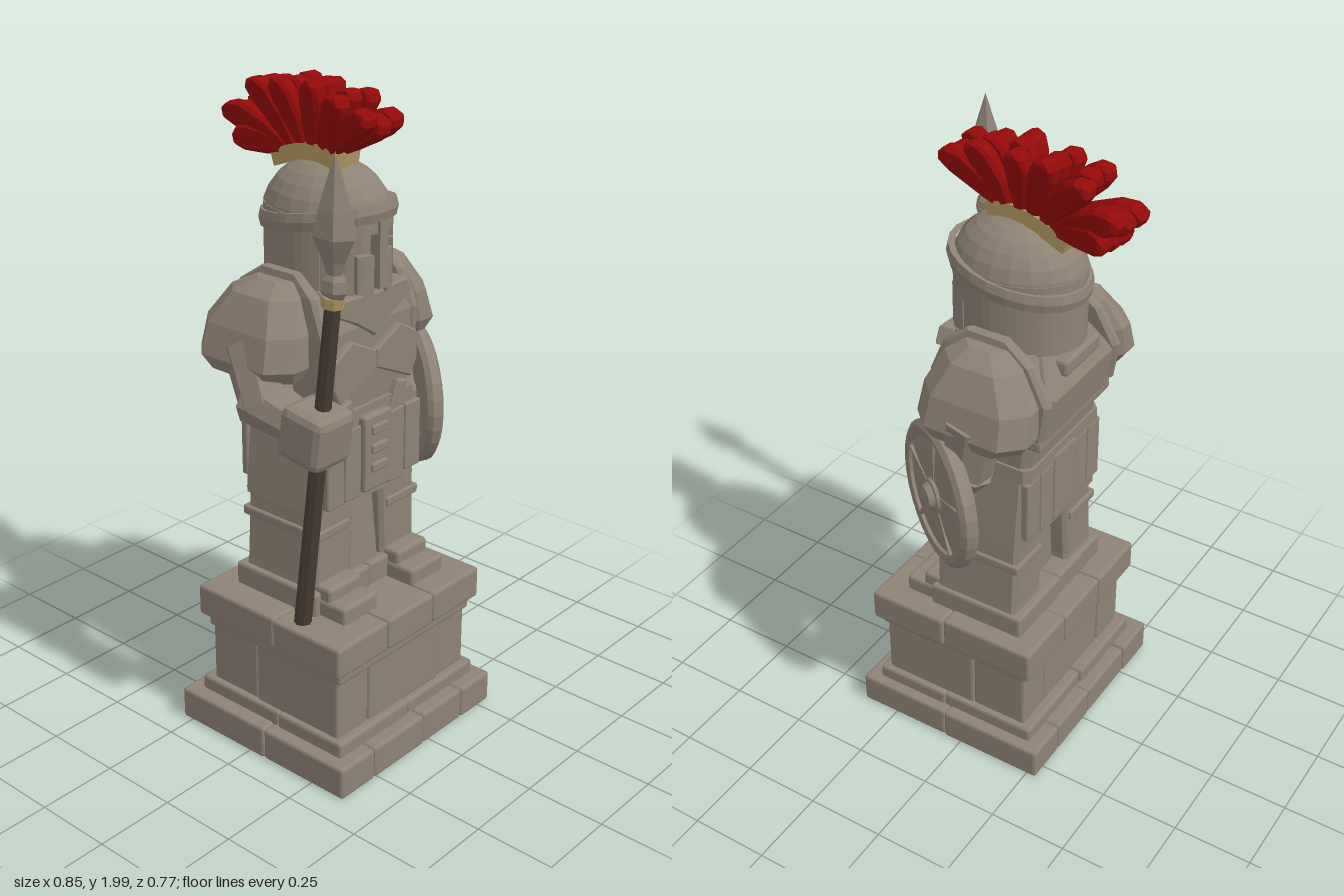
import * as THREE from 'three';
import { RoundedBoxGeometry } from 'three/addons/geometries/RoundedBoxGeometry.js';

const MID = -0.025; // centre line of the figure
const mat = (name, color, side = THREE.FrontSide) => {
  const m = new THREE.MeshStandardMaterial({ color, flatShading: true, side });
  m.name = name;
  return m;
};

export function createModel() {
  const stone = mat('stone', 0x8f8275), wood = mat('dark wood', 0x4a3d34);
  const red = mat('crest red', 0x930a0a), gold = mat('brass', 0xb39a62);
  const root = new THREE.Group();
  root.name = 'statue';
  let seed = 7;
  const rnd = () => ((seed = (seed * 16807) % 2147483647) / 2147483647) * 2 - 1;

  const add = (name, geo, material = stone, parent = root) => {
    const m = new THREE.Mesh(geo, material);
    m.name = name;
    parent.add(m);
    return m;
  };
  const group = (name, parent = root) => {
    const g = new THREE.Group();
    g.name = name;
    parent.add(g);
    return g;
  };
  // Bevelled block given by its limits
  const block = (name, x0, x1, y0, y1, z0, z1, parent = root, bevel = 0.01) => {
    const m = add(name, new RoundedBoxGeometry(x1 - x0, y1 - y0, z1 - z0, 1, bevel), stone, parent);
    m.position.set((x0 + x1) / 2, (y0 + y1) / 2, (z0 + z1) / 2);
    return m;
  };
  // Solid through chamfered rectangles [y, x0, x1, z0, z1]
  const loft = (sections, c = 0.02) => {
    const pos = [], idx = [], n = 8;
    for (const [y, x0, x1, z0, z1] of sections) {
      const k = Math.min(c, (x1 - x0) * 0.45, (z1 - z0) * 0.45);
      [[x1, z0 + k], [x1, z1 - k], [x1 - k, z1], [x0 + k, z1], [x0, z1 - k], [x0, z0 + k], [x0 + k, z0], [x1 - k, z0]]
        .forEach(([x, z]) => pos.push(x, y, z));
    }
    const last = (sections.length - 1) * n;
    for (let s = 0; s < last; s += n) for (let i = 0; i < n; i++) {
      const a = s + i, b = s + (i + 1) % n;
      idx.push(b, a, a + n, b, a + n, b + n);
    }
    for (let i = 1; i < n - 1; i++) idx.push(0, i, i + 1, last, last + i + 1, last + i);
    const g = new THREE.BufferGeometry();
    g.setAttribute('position', new THREE.Float32BufferAttribute(pos, 3));
    g.setIndex(idx);
    g.computeVertexNormals();
    return g;
  };
  // Flat outline facing the front
  const plate = (name, pts, z, depth, parent) => {
    const g = new THREE.ExtrudeGeometry(new THREE.Shape(pts.map(p => new THREE.Vector2(...p))),
      { depth, bevelSize: 0.005, bevelThickness: 0.005, bevelSegments: 1 });
    add(name, g, stone, parent).position.z = z;
  };
  // Tapered bar between two points
  const bar = (name, a, b, ra, rb, sides, material = stone, parent = root) => {
    const p = new THREE.Vector3(...a), q = new THREE.Vector3(...b), d = q.clone().sub(p);
    const m = add(name, new THREE.CylinderGeometry(rb, ra, d.length(), sides), material, parent);
    m.position.copy(p).addScaledVector(d, 0.5);
    m.quaternion.setFromUnitVectors(new THREE.Vector3(0, 1, 0), d.normalize());
    return m;
  };
  const mirror = x => 2 * MID - x;

  // Pedestal: courses of slightly uneven blocks
  const pedestal = group('pedestal');
  const course = (name, xs, y0, y1, zs) => {
    for (let i = 0; i < xs.length - 1; i++) for (let k = 0; k < zs.length - 1; k++) {
      const j = () => rnd() * 0.004;
      block(name, xs[i] + (i ? 0 : j()), xs[i + 1] + (i === xs.length - 2 ? j() : 0), y0, y1 + j(),
        zs[k] + (k ? 0 : j()), zs[k + 1] + (k === zs.length - 2 ? j() : 0), pedestal, 0.009);
    }
  };
  course('baseSlab', [-0.405, -0.26, -0.03, 0.16, 0.305], 0, 0.1, [-0.285, 0.06, 0.375]);
  course('baseStep', [-0.365, -0.05, 0.265], 0.09, 0.145, [-0.24, 0.08, 0.33]);
  course('pedestalWall', [-0.345, -0.21, 0.12, 0.25], 0.14, 0.35, [-0.205, -0.02, 0.305]);
  course('wallMoulding', [-0.355, 0.26], 0.335, 0.375, [-0.215, 0.315]);
  course('topSlab', [-0.37, -0.15, 0.06, 0.28], 0.37, 0.47, [-0.24, 0.07, 0.33]);
  course('footSlab', [-0.275, MID, 0.22], 0.46, 0.54, [-0.17, 0.15]);

  // Legs and boots
  const legs = group('legs');
  for (const s of [1, -1]) {
    const f = (a, b) => (s > 0 ? [a, b] : [mirror(b), mirror(a)]);
    add('leg', loft([[0.5, ...f(0.05, 0.21), -0.15, 0.14], [0.56, ...f(0.05, 0.205), -0.145, 0.135],
      [0.82, ...f(0.03, 0.19), -0.145, 0.14]], 0.012), stone, legs);
    block('boot', ...f(0.055, 0.205), 0.46, 0.52, 0.08, 0.25, legs);
    block('bootInstep', ...f(0.06, 0.2), 0.5, 0.56, 0.08, 0.19, legs);
    block('kneeBand', ...f(0.06, 0.205), 0.70, 0.73, -0.155, 0.145, legs, 0.006);
  }
  add('loincloth', loft([[0.5, -0.1, 0.045, -0.1, 0.13], [0.82, -0.075, 0.03, -0.1, 0.11]], 0.01), stone, legs);

  // Torso, belt and skirt
  const torso = group('torso');
  add('body', loft([[0.78, -0.255, 0.195, -0.16, 0.15], [1.06, -0.225, 0.17, -0.165, 0.14],
    [1.2, -0.225, 0.175, -0.185, 0.15], [1.32, -0.215, 0.17, -0.2, 0.15], [1.43, -0.17, 0.13, -0.15, 0.11]], 0.025), stone, torso);
  add('belt', loft([[1.03, -0.235, 0.18, -0.175, 0.155], [1.075, -0.232, 0.178, -0.175, 0.155]]), stone, torso);
  for (const z of [0.145, -0.175]) { // skirt flaps, front and back
    for (const x of [-0.235, -0.16, 0.035, 0.11])
      block('skirtFlap', x, x + 0.07, 0.79 + Math.abs(rnd()) * 0.04, 1.03, z, z + 0.025, torso, 0.006);
    block('middleFlap', -0.085, 0.035, 0.81, 1.05, z - 0.005, z + 0.035, torso, 0.008);
  }
  for (const y of [0.87, 0.93, 0.99]) block('flapStud', -0.06, 0.01, y, y + 0.03, 0.165, 0.19, torso, 0.006);
  for (const s of [1, -1]) {
    const m = pts => (s > 0 ? pts : pts.map(([x, y]) => [mirror(x), y]).reverse());
    plate('breastPlate', m([[MID + 0.005, 1.19], [0.13, 1.12], [0.155, 1.17], [0.15, 1.25], [0.08, 1.29], [MID + 0.005, 1.24]]), 0.135, 0.03, torso);
    plate('collarFlap', m([[MID, 1.29], [0.05, 1.34], [0.13, 1.38], [0.11, 1.42], [MID, 1.41]]), 0.115, 0.045, torso);
    plate('beltStrap', m([[0.05, 1.03], [0.09, 1.03], [0.12, 1.1], [0.08, 1.11]]), 0.13, 0.03, torso);
  }
  add('backPlate', loft([[1.19, -0.215, 0.165, -0.215, -0.1], [1.32, -0.2, 0.15, -0.235, -0.1],
    [1.43, -0.14, 0.09, -0.18, -0.05]]), stone, torso);
  block('backBand', -0.225, 0.175, 1.155, 1.195, -0.21, -0.1, torso);
  block('backCollar', -0.12, 0.07, 1.36, 1.41, -0.23, -0.12, torso);

  // Shoulder guards with raised inner straps
  for (const s of [1, -1]) {
    const g = group(s > 0 ? 'leftShoulder' : 'rightShoulder');
    const side = secs => secs.map(([y, a, b, c, d]) => (s > 0 ? [y, a, b, c, d] : [y, mirror(b), mirror(a), c, d]));
    add('shoulderGuard', loft(side([[1.21, 0.17, 0.325, -0.2, 0.11], [1.25, 0.16, 0.34, -0.23, 0.13],
      [1.34, 0.15, 0.315, -0.225, 0.12], [1.43, 0.14, 0.265, -0.17, 0.08], [1.465, 0.14, 0.21, -0.1, 0.03]]), 0.06), stone, g);
    add('shoulderStrap', loft(side([[1.2, 0.15, 0.185, -0.22, 0.145], [1.32, 0.145, 0.185, -0.238, 0.155],
      [1.43, 0.14, 0.18, -0.18, 0.11], [1.485, 0.14, 0.17, -0.1, 0.04]]), 0.012), stone, g);
  }

  // Arms and hands
  const arms = group('arms');
  bar('leftUpperArm', [0.26, 1.28, -0.05], [0.25, 1.07, -0.01], 0.09, 0.075, 8, stone, arms);
  bar('leftForearm', [0.25, 1.1, -0.03], [0.25, 0.98, 0.06], 0.075, 0.06, 8, stone, arms);
  block('leftHand', 0.19, 0.29, 0.92, 1.04, -0.01, 0.11, arms, 0.02);
  bar('rightUpperArm', [-0.3, 1.28, -0.05], [-0.35, 1.13, 0.05], 0.09, 0.078, 8, stone, arms);
  bar('rightForearm', [-0.345, 1.15, 0.0], [-0.35, 1.11, 0.2], 0.08, 0.06, 8, stone, arms);
  block('rightHand', -0.425, -0.275, 1.03, 1.19, 0.15, 0.305, arms, 0.025).rotation.x = 0.14;

  // Helmet, drawn on a unit circle and stretched front to back
  const helmet = group('helmet');
  helmet.position.set(-0.02, 0, -0.022);
  helmet.scale.set(0.162, 1, 0.2);
  const arc = (name, a0, a1, y0, y1, r0 = 0.85, r1 = 1) => { // degrees from the front, toward the left side
    const t0 = (a0 - 90) * Math.PI / 180, t1 = (a1 - 90) * Math.PI / 180;
    const s = new THREE.Shape();
    s.absarc(0, 0, r1, t0, t1, false);
    s.absarc(0, 0, r0, t1, t0, true);
    const g = new THREE.ExtrudeGeometry(s, { depth: y1 - y0, bevelEnabled: false, curveSegments: Math.max(2, Math.round((a1 - a0) / 15)) });
    add(name, g.rotateX(-Math.PI / 2).translate(0, y0, 0), stone, helmet);
  };
  add('face', new THREE.CylinderGeometry(0.88, 0.86, 0.25, 20).translate(0, 1.51, 0), stone, helmet);
  arc('helmetBack', 62, 298, 1.42, 1.64);
  arc('noseGuard', -6, 6, 1.43, 1.64, 0.85, 1.05);
  for (const s of [1, -1]) {
    const a = (name, p, q, ...r) => arc(name, Math.min(s * p, s * q), Math.max(s * p, s * q), ...r);
    a('innerCheek', 10, 28, 1.41, 1.53);
    a('outerCheek', 31, 60, 1.41, 1.55);
    a('brow', 6, 62, 1.59, 1.64);
    a('templeBar', 38, 62, 1.54, 1.6);
  }
  const dome = new THREE.SphereGeometry(1, 20, 7, 0, Math.PI * 2, 0, Math.PI / 2).scale(1.01, 0.165, 1.01);
  add('dome', dome, stone, helmet).position.y = 1.61;
  const ridge = new THREE.TorusGeometry(1, 0.02, 4, 20, Math.PI).rotateY(Math.PI / 2).scale(6, 0.165, 1.01);
  ridge.scale(0.9, 1, 1);
  add('domeRidge', ridge, stone, helmet).position.y = 1.61;
  const brim = new THREE.LatheGeometry([[0.95, -0.025], [1.05, -0.025], [1.08, 0], [1.05, 0.025], [0.95, 0.025]]
    .map(p => new THREE.Vector2(...p)), 24);
  const brimPos = brim.attributes.position; // brim rises toward the front
  for (let i = 0; i < brimPos.count; i++) brimPos.setY(i, brimPos.getY(i) + 1.617 + 0.033 * brimPos.getZ(i));
  add('brim', brim, stone, helmet);

  // Crest: fan of curved strands on a brass holder
  const crest = group('crest');
  crest.position.x = -0.03;
  crest.rotation.y = -0.09;
  const holder = new THREE.Shape();
  holder.moveTo(0.06, 1.74);
  holder.quadraticCurveTo(-0.06, 1.78, -0.19, 1.72);
  holder.lineTo(-0.205, 1.76);
  holder.quadraticCurveTo(-0.06, 1.84, 0.07, 1.8);
  const holderGeo = new THREE.ExtrudeGeometry(holder, { depth: 0.09, bevelEnabled: false, curveSegments: 5 });
  add('crestHolder', holderGeo.rotateY(-Math.PI / 2).translate(0.045, 0, 0), gold, crest);
  // root z, root y, lean, length, droop
  const feathers = [[0.03, 1.8, 0.9, 0.215, 0.6], [0.0, 1.8, 0.45, 0.19, 0.7], [-0.04, 1.8, 0.02, 0.185, 0.4],
    [-0.08, 1.8, -0.34, 0.2, -0.5], [-0.12, 1.79, -0.68, 0.225, -0.6], [-0.15, 1.78, -1.1, 0.235, -0.7], [-0.16, 1.775, -1.38, 0.17, -0.5]];
  for (const [z, y, lean, len, droop] of feathers) for (const k of [-1, 0, 1]) {
    const L = len * (1 + rnd() * 0.05);
    const row = (t, spread, thick) => [t * L, k * spread - spread * 0.55, k * spread + spread * 0.55, -thick, thick];
    const g = loft([row(0, 0.028, 0.02), row(0.35, 0.036, 0.034), row(0.75, 0.045, 0.04), row(0.93, 0.05, 0.03), row(1, 0.048, 0.012)], 0.01);
    const p = g.attributes.position;
    for (let i = 0; i < p.count; i++) p.setZ(i, p.getZ(i) + droop * (p.getY(i) ** 2 - 0.5 * L * p.getY(i)));
    const f = add('crestStrand', g, red, crest);
    f.position.set(0, y, z);
    f.rotation.x = lean + rnd() * 0.07;
  }

  // Spear
  const spear = group('spear');
  bar('shaft', [-0.315, 0.465, 0.14], [-0.357, 1.51, 0.297], 0.026, 0.022, 8, wood, spear);
  bar('band', [-0.356, 1.495, 0.294], [-0.358, 1.525, 0.299], 0.032, 0.032, 8, gold, spear);
  const head = new THREE.LatheGeometry([[0, 0], [0.03, 0], [0.042, 0.02], [0.036, 0.05], [0.024, 0.065], [0.034, 0.1], [0.066, 0.17], [0.05, 0.24], [0, 0.39]]
    .map(p => new THREE.Vector2(...p)), 6);
  const spearHead = add('spearhead', head.scale(0.8, 1, 1.05), stone, spear);
  spearHead.position.set(-0.358, 1.52, 0.3);
  spearHead.rotation.set(0.03, 0, 0.02);

  // Round shield
  const shield = group('shield');
  shield.position.set(0.295, 0.99, 0.055);
  shield.rotation.y = Math.atan2(0.84, 0.54);
  const lathe = (name, pts) => add(name, new THREE.LatheGeometry(pts.map(p => new THREE.Vector2(...p)), 28).rotateX(Math.PI / 2), stone, shield);
  lathe('shieldFace', [[0, -0.02], [0.21, -0.025], [0.21, 0.005], [0.12, 0.014], [0, 0.018]]);
  lathe('shieldRim', [[0.18, -0.03], [0.212, -0.03], [0.224, -0.015], [0.222, 0.01], [0.205, 0.022], [0.182, 0.018], [0.18, 0]]);
  lathe('shieldBoss', [[0.055, 0.01], [0.05, 0.026], [0.042, 0.028], [0.034, 0.045], [0, 0.054]]);
  for (let i = 0; i < 5; i++) {
    const a = i * Math.PI * 0.4 + 0.3;
    const rib = add('shieldRib', new THREE.BoxGeometry(0.13, 0.012, 0.014), stone, shield);
    rib.position.set(Math.cos(a) * 0.12, Math.sin(a) * 0.12, 0.012);
    rib.rotation.z = a;
  }
  return root;
}
